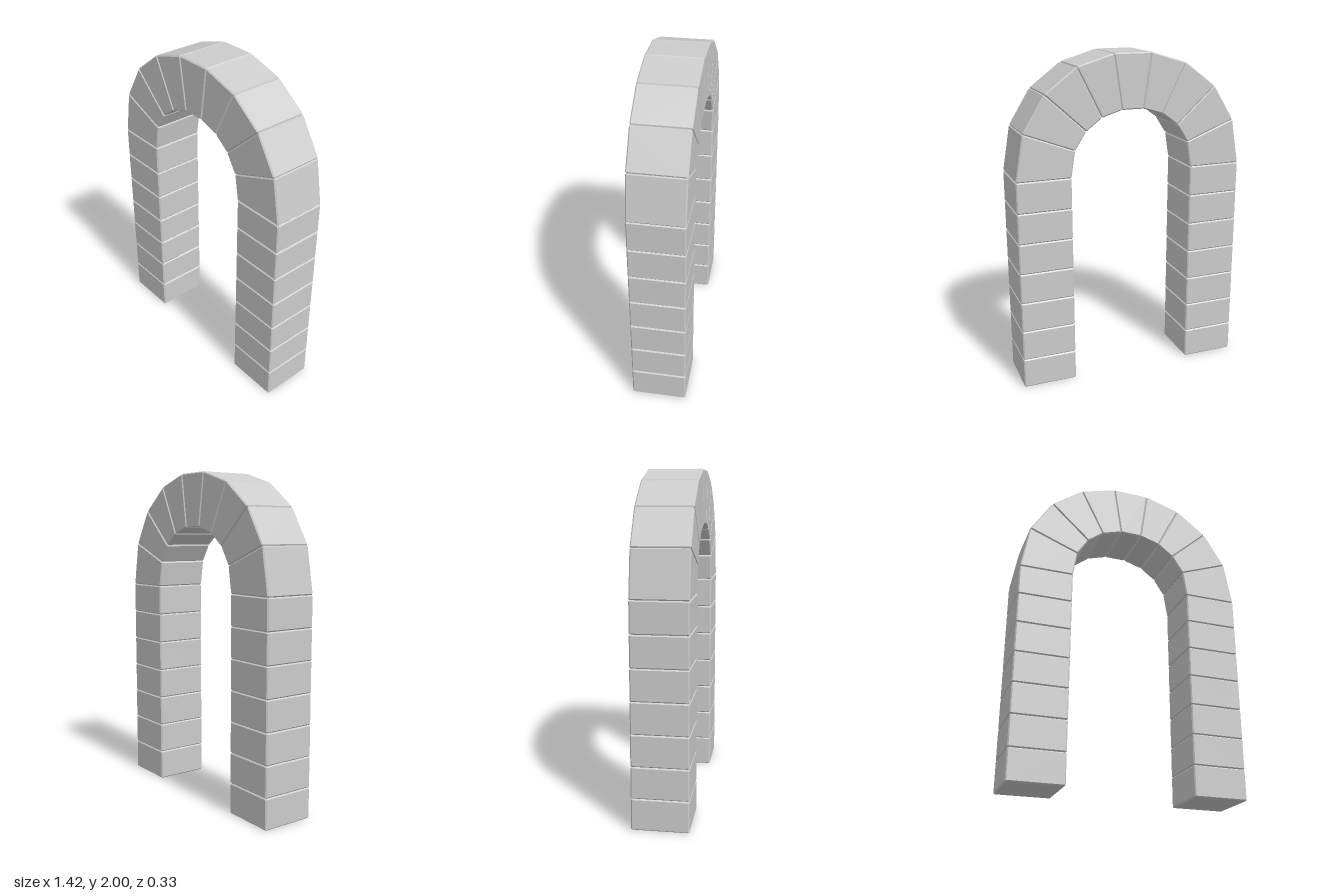
import * as THREE from 'three';
import { ConvexGeometry } from 'three/addons/geometries/ConvexGeometry.js';

const HALF_DEPTH = 0.165;
const BEVEL = 0.007;
const INNER_X = 0.38, OUTER_X = 0.71;
const SPRING_Y = 1.3, COURSES = 7;

// Joint lines of the arch ring, from the springing to the keystone: [inner x, y, outer x, y]
const JOINTS = [
  [INNER_X, SPRING_Y, OUTER_X, SPRING_Y],
  [0.355, 1.458, 0.662, 1.575],
  [0.286, 1.565, 0.53, 1.788],
  [0.19, 1.638, 0.337, 1.933],
  [0.067, 1.676, 0.115, 2.0],
];

// Stone with chamfered edges: a four-sided outline in xy, extended through the depth
function stoneGeometry(outline) {
  const corner = (i, s) => new THREE.Vector3(...outline[(i + 4) % 4], s * HALF_DEPTH);
  const points = [];
  for (let i = 0; i < 4; i++) {
    for (const s of [-1, 1]) {
      const p = corner(i, s);
      const steps = [corner(i - 1, s), corner(i + 1, s), corner(i, -s)]
        .map((n) => n.sub(p).setLength(BEVEL));
      for (let k = 0; k < 3; k++) {
        points.push(p.clone().add(steps[k]).add(steps[(k + 1) % 3]));
      }
    }
  }
  return new ConvexGeometry(points);
}

export function createModel() {
  const group = new THREE.Group();
  const material = new THREE.MeshStandardMaterial({ color: 0xcccccc, flatShading: true });
  const addStone = (name, parent, outline) => {
    const mesh = new THREE.Mesh(stoneGeometry(outline), material);
    mesh.name = name;
    parent.add(mesh);
  };

  for (const [side, label] of [[1, 'left'], [-1, 'right']]) {
    // Pier of equal square blocks
    const pier = new THREE.Group();
    pier.name = label + 'Pier';
    const h = SPRING_Y / COURSES;
    for (let i = 0; i < COURSES; i++) {
      addStone('pierBlock', pier, [
        [side * INNER_X, i * h], [side * OUTER_X, i * h],
        [side * OUTER_X, (i + 1) * h], [side * INNER_X, (i + 1) * h],
      ]);
    }

    // Wedge stones of the half arch
    const halfArch = new THREE.Group();
    halfArch.name = label + 'ArchStones';
    for (let i = 0; i < JOINTS.length - 1; i++) {
      const [ax, ay, bx, by] = JOINTS[i];
      const [cx, cy, dx, dy] = JOINTS[i + 1];
      addStone('archStone', halfArch, [
        [side * ax, ay], [side * bx, by], [side * dx, dy], [side * cx, cy],
      ]);
    }
    group.add(pier, halfArch);
  }

  // Keystone
  const [kx, ky, tx, ty] = JOINTS[JOINTS.length - 1];
  addStone('keystone', group, [[-kx, ky], [kx, ky], [tx, ty], [-tx, ty]]);

  return group;
}
